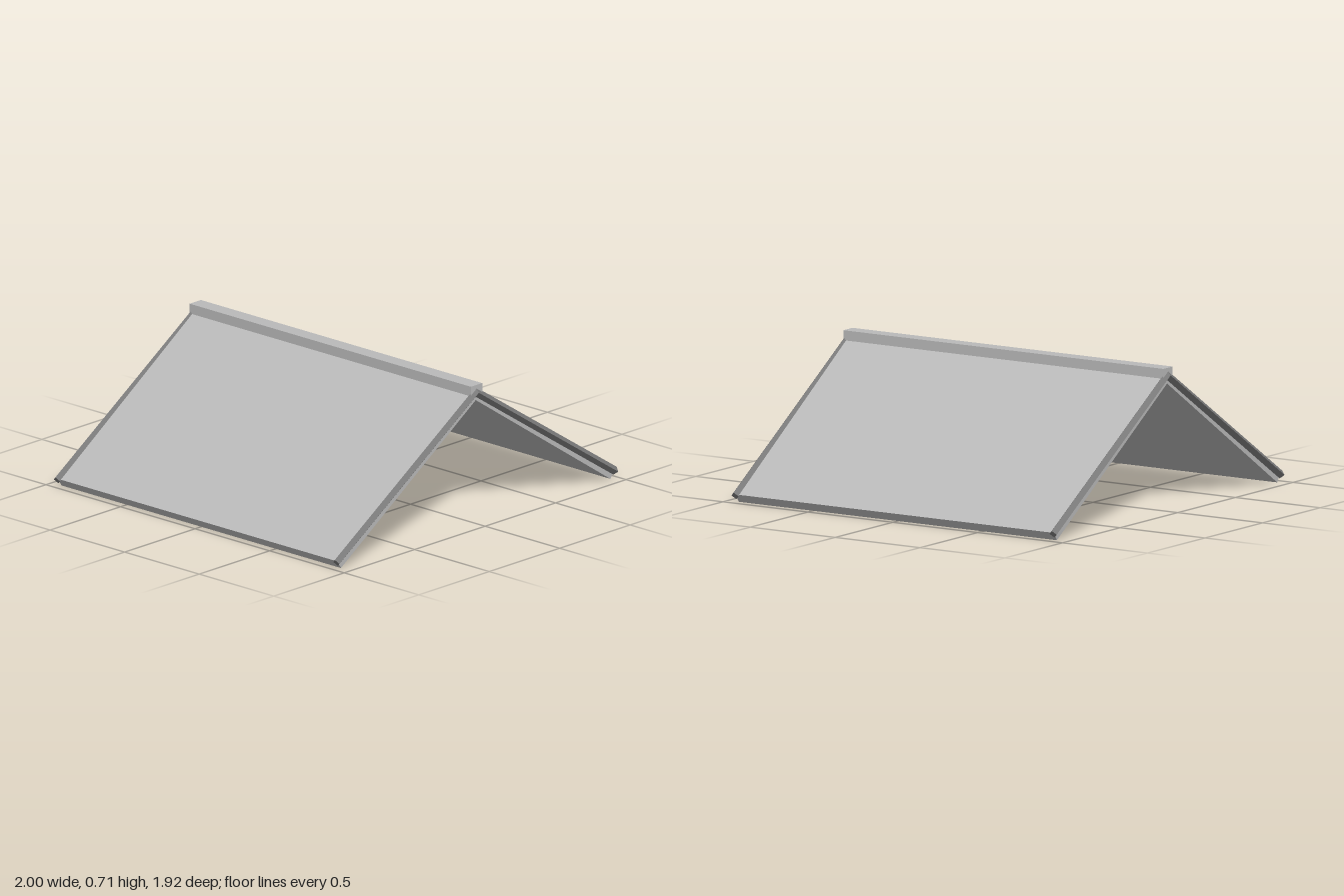
import * as THREE from 'three';

// Prism: an outline in x/y pushed along z, centred on z = 0
function prism(points, depth) {
  const shape = new THREE.Shape(points.map(([x, y]) => new THREE.Vector2(x, y)));
  const geometry = new THREE.ExtrudeGeometry(shape, { depth, bevelEnabled: false });
  return geometry.translate(0, 0, -depth / 2);
}

// Bar of diamond section, cut square at the eave and mitred at the ridge
function trimBar(side, z) {
  const eave = new THREE.Vector2(0.989, 0.034), apexY = 0.675, r = 0.021;
  const slope = Math.atan2(apexY - eave.y, eave.x);
  const nx = Math.sin(slope) * r, ny = Math.cos(slope) * r;
  const ring = [[1, 0], [0, 1], [-1, 0], [0, -1]]; // across the slope, along z
  const low = ring.map(([n, d]) => [side * (eave.x + n * nx), eave.y + n * ny, z + d * r]);
  const high = ring.map(([n, d]) => [0, apexY + n * r / Math.cos(slope), z + d * r]);
  const positions = [];
  const quad = (a, b, c, d) => {
    const corners = side > 0 ? [a, b, c, a, c, d] : [a, c, b, a, d, c];
    corners.forEach((p) => positions.push(...p));
  };
  for (let i = 0; i < 4; i++) {
    const j = (i + 1) % 4;
    quad(low[i], high[i], high[j], low[j]);
  }
  quad(low[0], low[1], low[2], low[3]);
  const geometry = new THREE.BufferGeometry();
  geometry.setAttribute('position', new THREE.Float32BufferAttribute(positions, 3));
  geometry.computeVertexNormals();
  return geometry;
}

export function createModel() {
  const model = new THREE.Group();
  model.name = 'gableRoof';
  const panelGrey = new THREE.MeshStandardMaterial({ color: 0xbababa });
  panelGrey.name = 'light grey';
  const trimGrey = new THREE.MeshStandardMaterial({ color: 0x7a7a7a, side: THREE.DoubleSide });
  trimGrey.name = 'dark grey';

  const add = (name, geometry, material) => {
    const mesh = new THREE.Mesh(geometry, material);
    mesh.name = name;
    model.add(mesh);
    return mesh;
  };

  for (const [label, side] of [['left', 1], ['right', -1]]) {
    // Sloping panel, running from the ridge to a square-cut eave
    const outline = [[0, 0.633], [0.956, 0], [0.982, 0.04], [0, 0.689]];
    add(label + 'RoofPanel', prism(outline.map(([x, y]) => [side * x, y]), 1.874), panelGrey);
    // Diamond trim along the front and back edges of the panel
    add(label + 'FrontTrim', trimBar(side, 0.937), trimGrey);
    add(label + 'BackTrim', trimBar(side, -0.937), trimGrey);
  }

  // Cap along the ridge
  const cap = add('ridgeCap', new THREE.BoxGeometry(0.08, 0.052, 1.886), panelGrey);
  cap.position.y = 0.686;

  return model;
}
